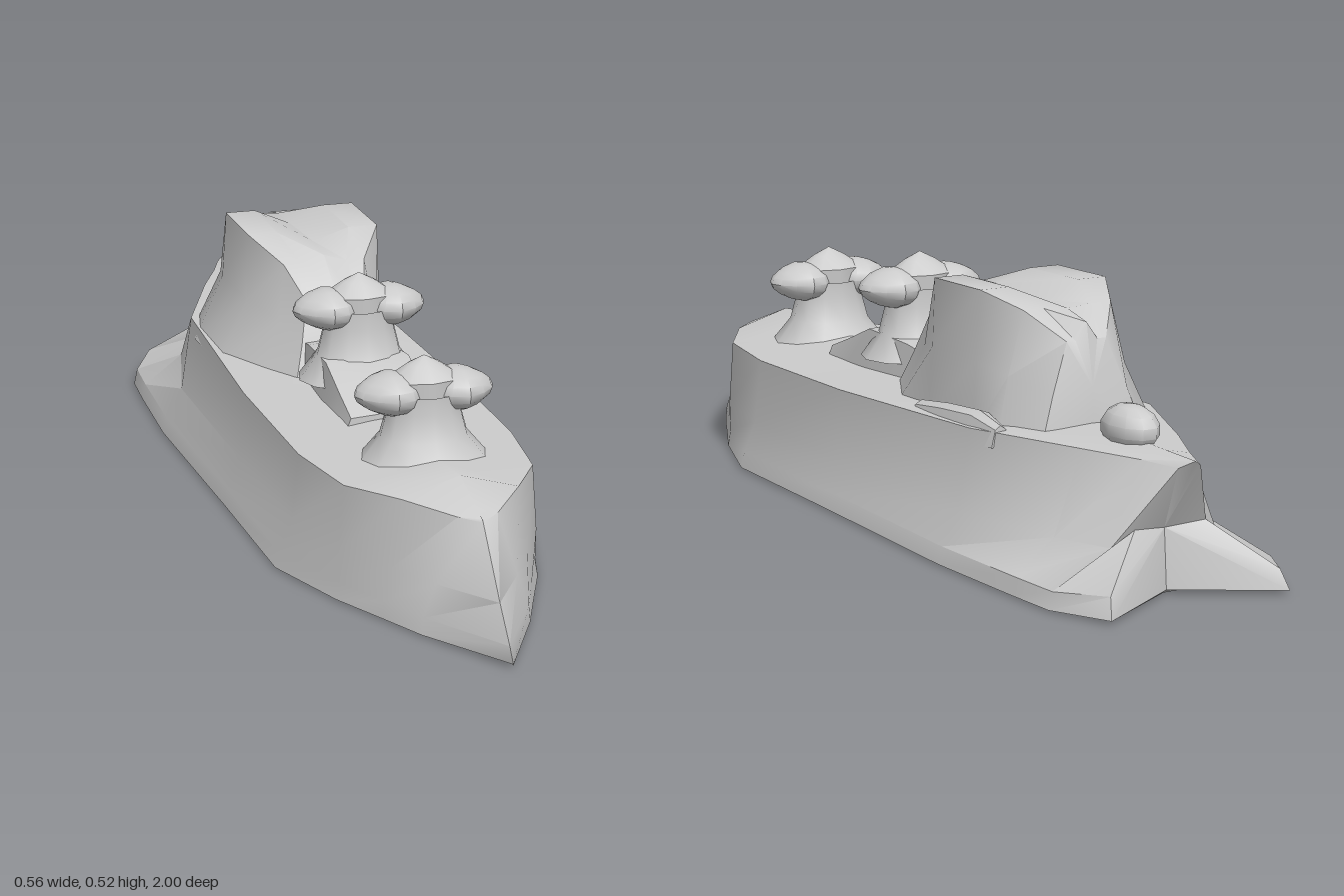
import * as THREE from 'three';
import { toCreasedNormals } from 'three/addons/utils/BufferGeometryUtils.js';

const material = new THREE.MeshStandardMaterial({ color: 0xcccccc, side: THREE.DoubleSide });

function add(parent, name, geometry, x = 0, y = 0, z = 0) {
  const mesh = new THREE.Mesh(toCreasedNormals(geometry, 0.65), material);
  mesh.name = name;
  mesh.position.set(x, y, z);
  parent.add(mesh);
  return mesh;
}

// Joins mirrored half sections, listed from front to back. Each half runs
// from the bottom centre, up the +x side, to the top centre.
function loft(rows, frontCentre, backCentre) {
  const rings = rows.map((half) => [
    ...half,
    ...half.slice(1, -1).reverse().map(([x, y, z]) => [-x, y, z]),
  ]);
  const n = rings[0].length;
  const positions = rings.flat(2);
  const index = [];
  for (let i = 0; i < rings.length - 1; i++) {
    for (let j = 0; j < n; j++) {
      const a = i * n + j, b = i * n + (j + 1) % n;
      index.push(a, a + n, b + n, a, b + n, b);
    }
  }
  const last = (rings.length - 1) * n;
  const front = rings.length * n;
  positions.push(...frontCentre, ...backCentre);
  for (let j = 0; j < n; j++) {
    const k = (j + 1) % n;
    index.push(front, j, k, front + 1, last + k, last + j);
  }
  const geometry = new THREE.BufferGeometry();
  geometry.setAttribute('position', new THREE.Float32BufferAttribute(positions, 3));
  geometry.setIndex(index);
  return geometry;
}

// Hull section: flat bottom, flared foot, nearly upright side, crowned deck
const hullSection = (z, foot, side, deck, deckY, crownY) => [
  [0, 0.012, z], [foot, 0.015, z], [foot * 0.97, 0.05, z],
  [side, 0.115, z], [deck, deckY, z], [0, crownY, z],
];

function hull() {
  const bow = [
    [0, 0.02, 1], [0, 0.022, 1], [0, 0.05, 0.98],
    [0, 0.115, 0.925], [0, 0.24, 0.83], [0, 0.245, 0.825],
  ];
  // Two low prongs with a raised deck point between them
  const stern = [
    [0, 0.02, -0.88], [0.2, 0.02, -1], [0.19, 0.06, -0.98],
    [0.08, 0.15, -0.89], [0.025, 0.275, -0.95], [0, 0.29, -0.97],
  ];
  return loft([
    bow,
    hullSection(0.8, 0.11, 0.082, 0.04, 0.245, 0.255),
    hullSection(0.7, 0.155, 0.14, 0.12, 0.255, 0.29),
    hullSection(0.58, 0.21, 0.205, 0.195, 0.25, 0.28),
    hullSection(0.38, 0.275, 0.24, 0.225, 0.25, 0.28),
    hullSection(0.0, 0.275, 0.24, 0.23, 0.26, 0.28),
    hullSection(-0.5, 0.28, 0.235, 0.21, 0.28, 0.29),
    hullSection(-0.75, 0.265, 0.17, 0.11, 0.28, 0.29),
    hullSection(-0.87, 0.255, 0.12, 0.055, 0.278, 0.29),
    stern,
  ], [0, 0.115, 0.925], [0, 0.14, -0.87]);
}

// Superstructure section: splayed skirt, upright wall, two raised shoulders
const houseSection = (z, skirt, wall, shoulder, topY, crownY, lean = 0) => [
  [0, 0.25, z], [skirt, 0.25, z], [wall, 0.25 + (topY - 0.25) * 0.5, z - lean * 0.5],
  [shoulder, topY, z - lean], [shoulder * 0.55, topY, z - lean], [0, crownY, z - lean],
];

function house() {
  const geometry = loft([
    houseSection(-0.02, 0.11, 0.085, 0.065, 0.42, 0.435, 0.07),
    houseSection(-0.12, 0.16, 0.11, 0.09, 0.48, 0.495, 0.05),
    houseSection(-0.25, 0.215, 0.15, 0.145, 0.53, 0.505),
    houseSection(-0.43, 0.22, 0.155, 0.145, 0.535, 0.5),
    houseSection(-0.52, 0.2, 0.135, 0.1, 0.505, 0.5),
    houseSection(-0.62, 0.12, 0.085, 0.045, 0.45, 0.485, -0.03),
  ], [0, 0.34, -0.055], [0, 0.36, -0.615]);
  // The +x side drops straight to the deck
  const p = geometry.attributes.position;
  for (let i = 0; i < p.count; i++) p.setX(i, Math.min(p.getX(i), 0.16));
  return geometry;
}

// Gun-like mount: flared pedestal, two rounded lobes and a peaked cap
function turret(name, z, baseY, headY) {
  const group = new THREE.Group();
  group.name = name;
  const h = headY - baseY;
  const profile = [[0.13, 0], [0.09, h * 0.35], [0.075, h * 0.75], [0.075, h]];
  const pedestal = new THREE.LatheGeometry(
    profile.map(([r, y]) => new THREE.Vector2(r, y)), 12);
  add(group, 'pedestal', pedestal, 0, baseY, z).scale.z = 0.85;
  for (const s of [-1, 1]) {
    const lobe = new THREE.SphereGeometry(1, 12, 8);
    const p = lobe.attributes.position;
    for (let i = 0; i < p.count; i++) {
      // Taper the outer end
      const pinch = 1 - 0.3 * Math.max(0, p.getX(i) * s);
      p.setXYZ(i, p.getX(i) * 0.07, p.getY(i) * 0.043 * pinch, p.getZ(i) * 0.072 * pinch);
    }
    add(group, 'lobe', lobe, s * 0.073, headY, z);
  }
  const cap = new THREE.LatheGeometry(
    [[0.07, -0.04], [0.075, 0.028], [0.035, 0.055], [0, 0.072]]
      .map(([r, y]) => new THREE.Vector2(r, y)), 10);
  add(group, 'cap', cap, 0, headY, z).scale.z = 0.75;
  return group;
}

// Sloped housing that carries the middle turret back to the superstructure
function slopedHousing() {
  const section = (z, w, y) => [[0, 0.26, z], [w, 0.26, z], [w * 0.9, y, z], [0, y + 0.005, z]];
  return loft([
    section(0.3, 0.1, 0.285), section(0.22, 0.1, 0.315),
    section(0.13, 0.1, 0.352), section(-0.02, 0.09, 0.345), section(-0.1, 0.08, 0.33),
  ], [0, 0.27, 0.3], [0, 0.3, -0.1]);
}

// Low wedge-ended ledge along the +x deck edge
function deckLedge() {
  const section = (z, w, y) => [[0, 0.25, z], [w, 0.25, z], [w * 0.6, y, z], [0, y + 0.008, z]];
  return loft([
    section(-0.25, 0.025, 0.275), section(-0.36, 0.035, 0.29),
    section(-0.48, 0.035, 0.3), section(-0.56, 0.02, 0.285),
  ], [0, 0.26, -0.25], [0, 0.265, -0.56]);
}

export function createModel() {
  const model = new THREE.Group();
  model.name = 'ship';
  add(model, 'hull', hull());
  add(model, 'superstructure', house());
  add(model, 'slopedHousing', slopedHousing());
  add(model, 'deckLedge', deckLedge(), 0.175);
  model.add(turret('frontTurret', 0.485, 0.26, 0.395));
  model.add(turret('middleTurret', 0.07, 0.3, 0.45));

  // Small rear mount on the tapering deck
  add(model, 'rearMount', new THREE.SphereGeometry(1, 10, 7), 0, 0.308, -0.748)
    .scale.set(0.05, 0.047, 0.075);
  return model;
}
